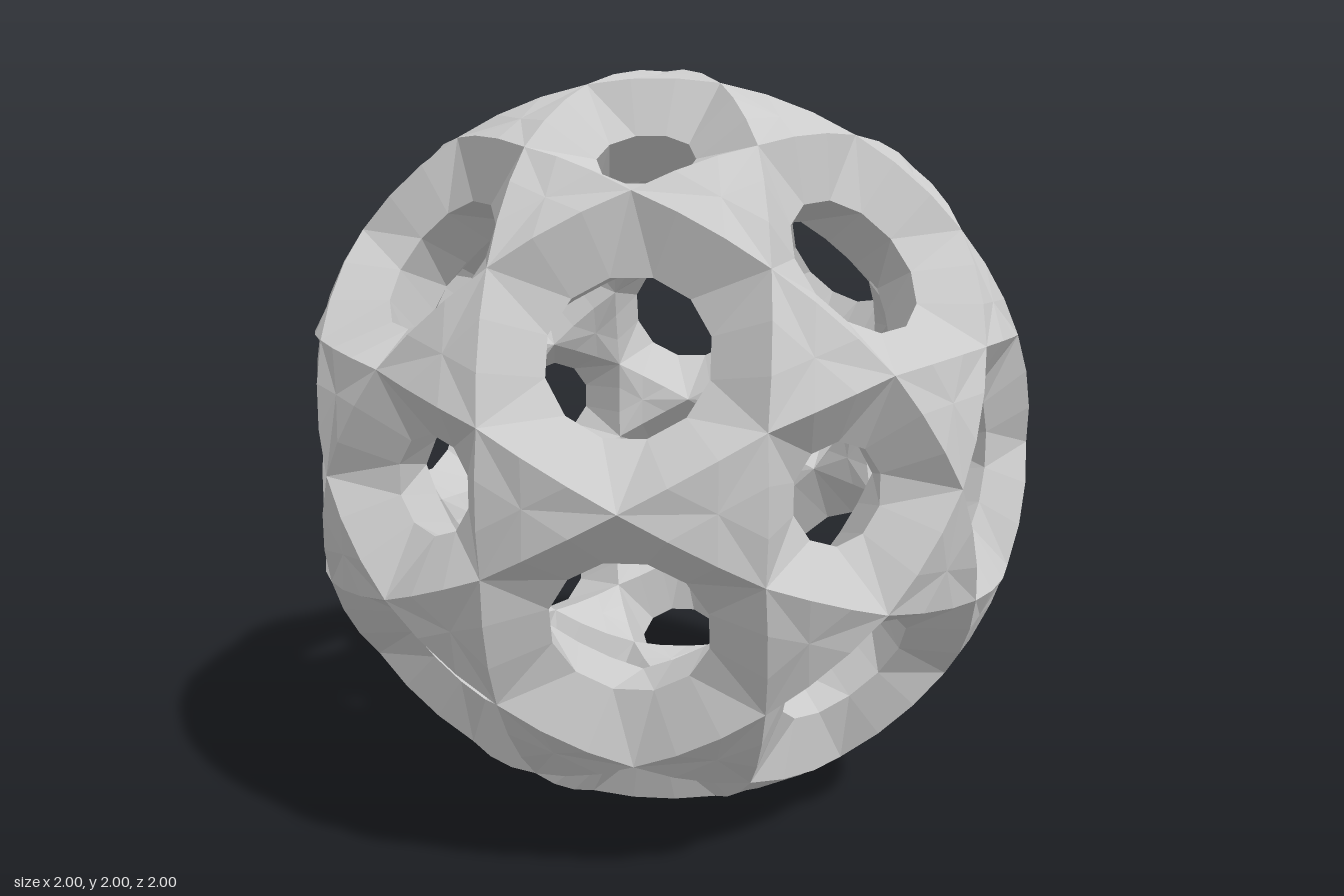
import * as THREE from 'three';

const PHI = (1 + Math.sqrt(5)) / 2;
const INNER = 0.74; // inner shell radius, outer shell radius is 1

// sign variations and cyclic permutations give the symmetry axes
function axes(list) {
  const out = [];
  for (const p of list)
    for (let s = 0; s < 8; s++) {
      const q = p.map((c, i) => (s >> i & 1 ? -c : c));
      for (let r = 0; r < 3; r++) {
        const v = new THREE.Vector3(q[r], q[(r + 1) % 3], q[(r + 2) % 3]).normalize();
        if (!out.some(o => o.distanceTo(v) < 1e-4)) out.push(v);
      }
    }
  return out;
}

// point on the unit sphere part way along an edge
const arc = (a, b, t) => a.clone().lerp(b, t).normalize();

// sort points counter-clockwise around an axis, seen from outside
function sortAround(axis, pts) {
  const u = pts[0].clone().addScaledVector(axis, -axis.dot(pts[0])).normalize();
  const v = axis.clone().cross(u);
  const angle = p => Math.atan2(p.dot(v), p.dot(u));
  const sorted = pts.slice().sort((a, b) => angle(a) - angle(b));
  return { sorted, u, v, start: angle(sorted[0]) };
}

// dished frame from the polygon edge down to a hole, on the outer and inner shell
function frame(out, axis, corners, holeRadius, holeHeight) {
  const n = corners.length;
  const { sorted, u, v, start } = sortAround(axis, corners);
  const rim = (k, side) => {
    const a = start + (k * 2 + side * 0.5) * Math.PI / n;
    return axis.clone().multiplyScalar(holeHeight)
      .addScaledVector(u, Math.cos(a) * holeRadius)
      .addScaledVector(v, Math.sin(a) * holeRadius);
  };
  for (const s of [1, INNER]) {
    const tri = (a, b, c) => (s === 1 ? out.push(a, b, c) : out.push(a, c, b));
    for (let k = 0; k < n; k++) {
      const p = sorted[k], q = sorted[(k + 1) % n];
      const [c, a, b, d] = [0, 1 / 3, 2 / 3, 1].map(t => arc(p, q, t).multiplyScalar(s));
      const h0 = rim(k, -1), h1 = rim(k, 1), h2 = rim(k + 1, -1);
      tri(c, h1, h0);
      tri(c, a, h1);
      tri(a, b, h2);
      tri(a, h2, h1);
      tri(b, d, h2);
    }
  }
}

// solid triangular web between three frames, outer and inner skin
function web(out, corners) {
  const mid = corners[0].clone().add(corners[1]).add(corners[2]).divideScalar(3);
  const { sorted } = sortAround(mid.clone().normalize(), corners);
  mid.setLength((1 + mid.length()) / 2);
  for (const s of [1, INNER])
    for (let k = 0; k < 3; k++)
      for (let j = 0; j < 3; j++) {
        const a = arc(sorted[k], sorted[(k + 1) % 3], j / 3).multiplyScalar(s);
        const b = arc(sorted[k], sorted[(k + 1) % 3], (j + 1) / 3).multiplyScalar(s);
        const m = mid.clone().multiplyScalar(s);
        if (s === 1) out.push(a, b, m); else out.push(b, a, m);
      }
}

export function createModel() {
  const group = new THREE.Group();
  const material = new THREE.MeshStandardMaterial({ color: 0xcccccc, flatShading: true });
  const addMesh = (name, points) => {
    const geometry = new THREE.BufferGeometry().setFromPoints(points);
    geometry.computeVertexNormals();
    const mesh = new THREE.Mesh(geometry, material);
    mesh.name = name;
    mesh.position.y = 1;
    group.add(mesh);
  };

  const hexAxes = axes([[1, 1, 1], [0, 1 / PHI, PHI]]);
  const pentAxes = axes([[1, 0, PHI]]);
  const joints = axes([[1, 0, 0], [PHI / 2, 1 / PHI / 2, 0.5]]);
  const sidePoints = [];

  // large holes: six corners, three joints and their mirror points
  const large = [];
  for (const h of hexAxes) {
    const near = joints.filter(o => o.dot(h) > 0.92);
    const far = near.map(o => h.clone().multiplyScalar(2 * h.dot(o)).sub(o));
    for (const p of far)
      if (!sidePoints.some(q => q.distanceTo(p) < 1e-3)) sidePoints.push(p);
    frame(large, h, [...near, ...far], 0.187, 0.862);
  }
  addMesh('largeHoleFrames', large);

  // small holes: five corners
  const small = [];
  for (const g of pentAxes)
    frame(small, g, sidePoints.filter(p => p.dot(g) > 0.94), 0.12, 0.877);
  addMesh('smallHoleFrames', small);

  // triangular webs where the frames meet
  const webs = [];
  for (const o of joints)
    for (const g of pentAxes.filter(a => a.dot(o) > 0.8))
      web(webs, [o, ...sidePoints.filter(p => p.dot(o) > 0.92 && p.dot(g) > 0.94)]);
  addMesh('triangleWebs', webs);

  return group;
}
